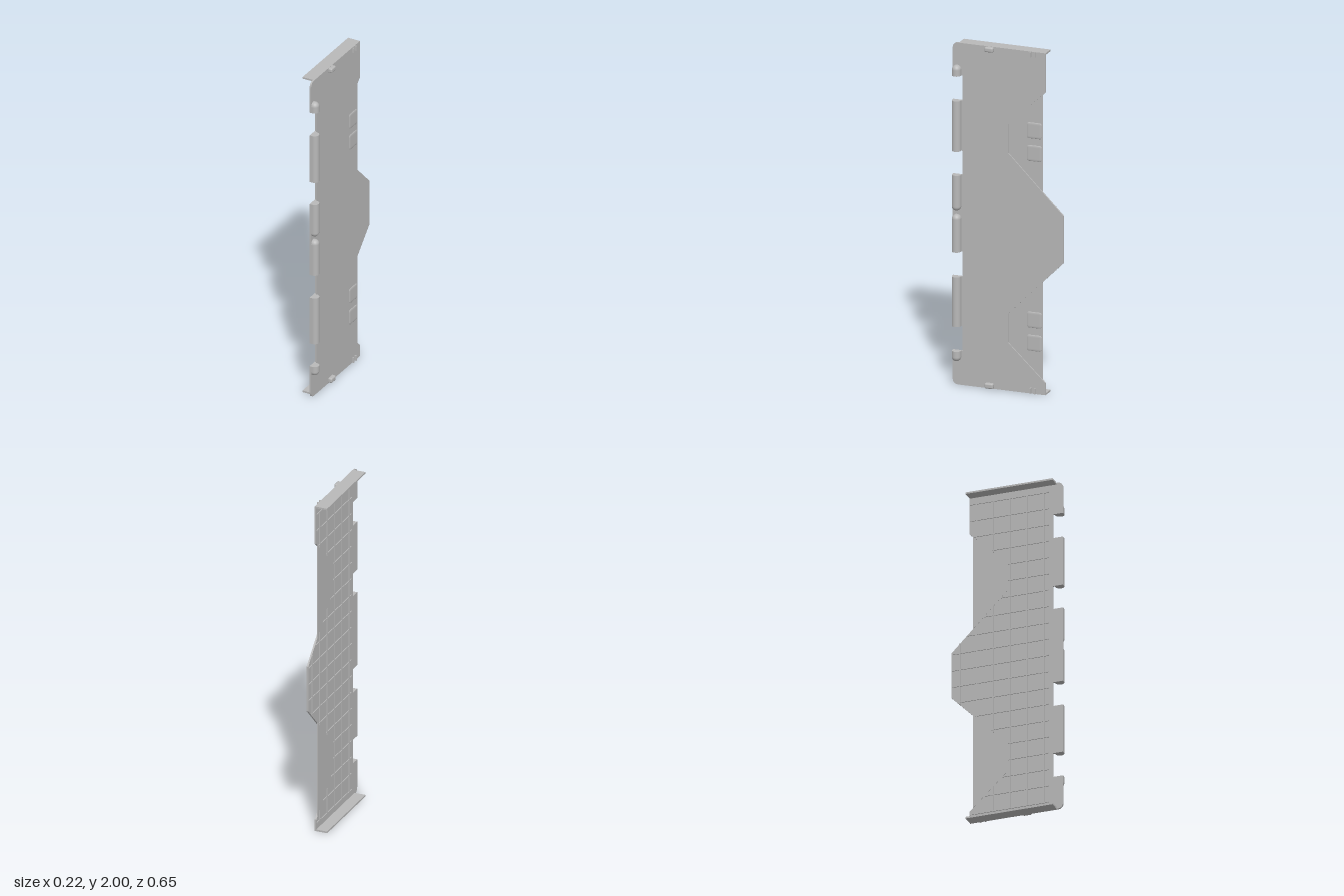
import * as THREE from 'three';
import { RoundedBoxGeometry } from 'three/addons/geometries/RoundedBoxGeometry.js';

const grey = new THREE.MeshStandardMaterial({ color: 0xb8b8b8 });
grey.name = 'plain grey';

// Back edge of the panel as [z, y], bottom to top
const BACK_EDGE = [
  [-0.222, 0], [-0.222, 0.07], [0.002, 0.28], [0.002, 0.45], [-0.33, 0.785],
  [-0.33, 1.06], [0.002, 1.39], [0.002, 1.56], [-0.222, 1.77], [-0.222, 2],
];
const OUTER = 0.01; // outer face of the panel
const HINGE_Z = 0.308, HINGE_X = 0.018, HINGE_R = 0.026;

function add(parent, name, geometry) {
  const mesh = new THREE.Mesh(geometry, grey);
  mesh.name = name;
  parent.add(mesh);
  return mesh;
}

// Box given by its limits
function block(parent, name, x0, x1, y0, y1, z0, z1) {
  const mesh = add(parent, name, new THREE.BoxGeometry(x1 - x0, y1 - y0, z1 - z0));
  mesh.position.set((x0 + x1) / 2, (y0 + y1) / 2, (z0 + z1) / 2);
  return mesh;
}

// Flat plate drawn in (z, y), lying between x0 and x1
function plate(parent, name, shape, x0, x1) {
  const geometry = new THREE.ExtrudeGeometry(shape, { depth: x1 - x0, bevelEnabled: false, curveSegments: 10 });
  geometry.rotateY(-Math.PI / 2).translate(x1, 0, 0);
  return add(parent, name, geometry);
}

// z of the back edge at height y
function edgeAt(y) {
  for (let i = 1; i < BACK_EDGE.length; i++) {
    const [z0, y0] = BACK_EDGE[i - 1], [z1, y1] = BACK_EDGE[i];
    if (y <= y1) return z0 + (z1 - z0) * (y - y0) / (y1 - y0);
  }
  return BACK_EDGE[0][0];
}

// Main panel with rounded front corners and notches between the hinge knuckles
function panelShape() {
  const front = 0.334, inset = 0.275, r = 0.035;
  const shape = new THREE.Shape();
  shape.moveTo(-0.222, 0);
  shape.lineTo(front - r, 0);
  shape.quadraticCurveTo(front, 0, front, r);
  for (const [y0, y1] of [[0.2, 0.345], [0.635, 0.78], [1.23, 1.37], [1.665, 1.81]]) {
    shape.lineTo(front, y0);
    shape.lineTo(inset, y0);
    shape.lineTo(inset, y1);
    shape.lineTo(front, y1);
  }
  shape.lineTo(front, 2 - r);
  shape.quadraticCurveTo(front, 2, front - r, 2);
  for (let i = BACK_EDGE.length - 1; i > 0; i--) shape.lineTo(...BACK_EDGE[i]);
  return shape;
}

// Half-round hinge knuckle; dome is +1 (top), -1 (bottom) or 0
function knuckle(parent, y0, y1, dome) {
  const group = new THREE.Group();
  group.name = 'hingeKnuckle';
  parent.add(group);
  const barrel = add(group, 'knuckleBarrel',
    new THREE.CylinderGeometry(HINGE_R, HINGE_R, y1 - y0, 16, 1, false, 0, Math.PI));
  barrel.position.set(HINGE_X, (y0 + y1) / 2, HINGE_Z);
  block(group, 'knuckleBase', 0, HINGE_X, y0, y1, HINGE_Z - HINGE_R, HINGE_Z + HINGE_R);
  if (!dome) return;
  const yEnd = dome > 0 ? y1 : y0;
  const cap = add(group, 'knuckleDome', new THREE.SphereGeometry(
    HINGE_R, 16, 8, Math.PI / 2, Math.PI, dome > 0 ? 0 : Math.PI / 2, Math.PI / 2));
  cap.position.set(HINGE_X, yEnd, HINGE_Z);
  const half = new THREE.Shape();
  half.absarc(HINGE_Z, yEnd, HINGE_R, dome > 0 ? 0 : Math.PI, dome > 0 ? Math.PI : 2 * Math.PI, false);
  plate(group, 'knuckleDomeBase', half, 0, HINGE_X);
}

// Grid of stiffening ribs on the inner face
function ribs(parent) {
  const w = 0.003, depth = -0.005, low = 0.05, high = 1.95, front = 0.25;
  for (let y = low; y < high + 0.01; y += 0.1) {
    block(parent, 'crossRib', depth, 0.001, y - w, y + w, edgeAt(y) + 0.005, front);
  }
  for (let i = -3; i <= 2; i++) {
    const z = i * 0.1 + 0.02;
    const cuts = [low, high];
    for (let k = 1; k < BACK_EDGE.length; k++) {
      const [z0, y0] = BACK_EDGE[k - 1], [z1, y1] = BACK_EDGE[k];
      if ((z0 - z) * (z1 - z) < 0) cuts.push(y0 + (y1 - y0) * (z - z0) / (z1 - z0));
    }
    const ys = cuts.filter((y) => y >= low && y <= high).sort((a, b) => a - b);
    for (let k = 1; k < ys.length; k++) {
      if (edgeAt((ys[k - 1] + ys[k]) / 2) < z) {
        block(parent, 'uprightRib', depth, 0.001, ys[k - 1], ys[k], z - w, z + w);
      }
    }
  }
}

export function createModel() {
  const model = new THREE.Group();
  model.name = 'hingedPanel';
  const body = new THREE.Group();
  body.name = 'panelBody';
  body.rotation.y = 0.203;
  model.add(body);

  plate(body, 'panel', panelShape(), 0, OUTER);
  ribs(body);

  // Flanges folded inward at both ends
  block(body, 'bottomFlange', -0.066, OUTER, 0, 0.01, -0.222, 0.297);
  block(body, 'topFlange', -0.066, OUTER, 1.99, 2, -0.222, 0.297);

  // Recessed plates filling the two back notches, each with two raised pads
  for (const [first, padYs] of [[1, [0.295, 0.43]], [5, [1.405, 1.538]]]) {
    const [a, b, c, d] = BACK_EDGE.slice(first, first + 4);
    const back = -0.203;
    const lower = first === 1 ? a[1] + 0.018 : 1.185;
    const upper = first === 1 ? 0.657 : d[1] - 0.018;
    const shape = new THREE.Shape();
    shape.moveTo(back, lower);
    shape.lineTo(b[0] + 0.002, b[1]);
    shape.lineTo(c[0] + 0.002, c[1]);
    shape.lineTo(back, upper);
    plate(body, 'recessPlate', shape, -0.001, 0.003);
    for (const y of padYs) {
      const pad = add(body, 'recessPad', new RoundedBoxGeometry(0.09, 0.093, 0.03, 3, 0.014));
      pad.rotation.y = Math.PI / 2;
      pad.scale.z = 0.25;
      pad.position.set(0.0045, y, -0.153);
    }
  }

  // Hinge knuckles along the front edge
  knuckle(body, 0.165, 0.2, -1);
  knuckle(body, 0.345, 0.635, 0);
  knuckle(body, 0.78, 0.972, 1);
  knuckle(body, 1.046, 1.23, -1);
  knuckle(body, 1.37, 1.665, 0);
  knuckle(body, 1.81, 1.845, 1);

  // Small stops and latch tabs at both ends
  for (const [y0, y1] of [[0.002, 0.033], [1.97, 1.999]]) {
    const stop = add(body, 'endStop', new RoundedBoxGeometry(0.03, y1 - y0, 0.052, 3, 0.009));
    stop.position.set(0.0165, (y0 + y1) / 2, 0.112);
    for (const z of [-0.162, -0.134]) {
      block(body, 'latchTab', 0.005, 0.022, y0, y1 + (y0 < 1 ? 0.001 : 0), z - 0.0035, z + 0.0035);
    }
  }
  return model;
}
